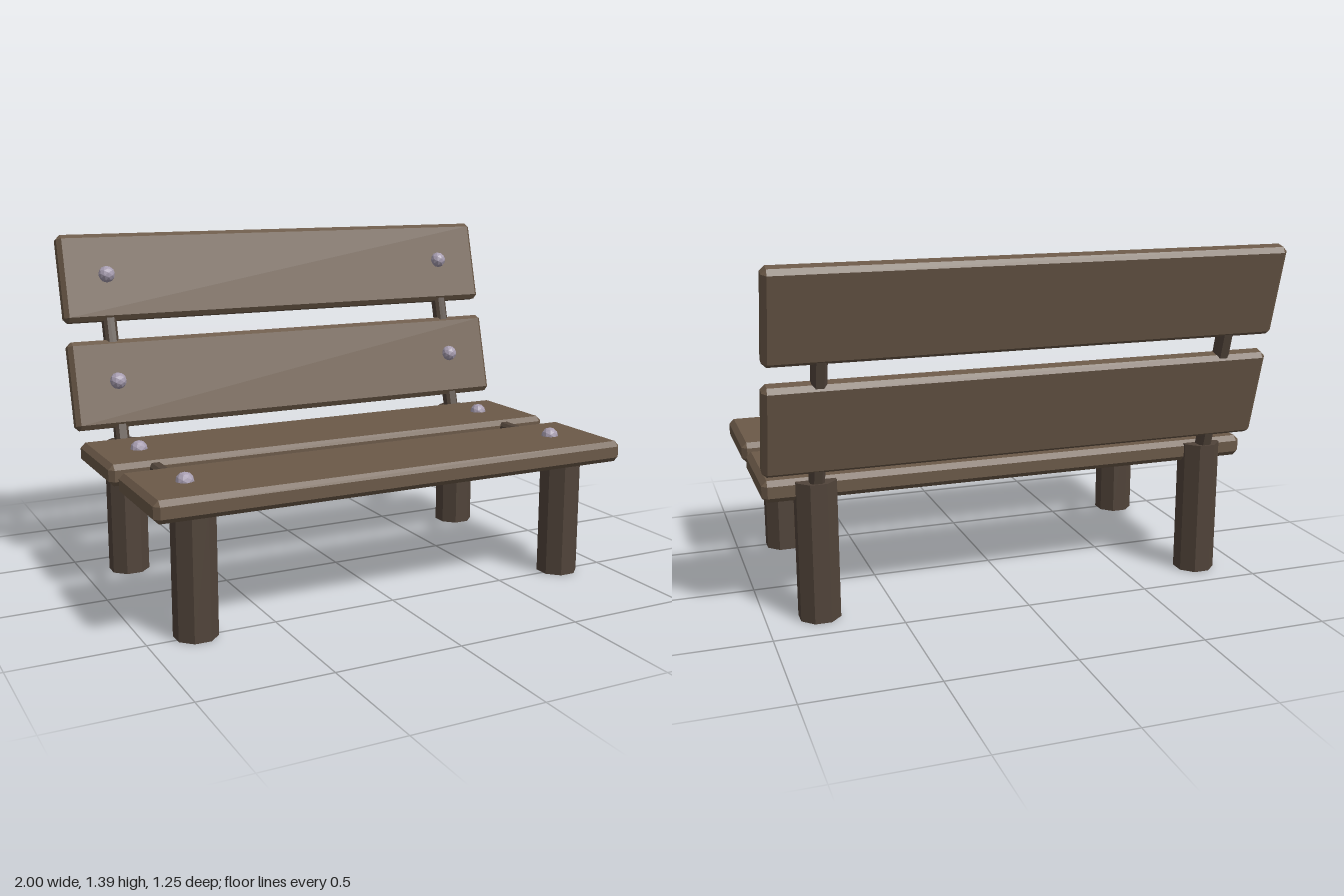
import * as THREE from 'three';
import { ConvexGeometry } from 'three/addons/geometries/ConvexGeometry.js';

const material = (color) => new THREE.MeshStandardMaterial({ color, flatShading: true });

// Box with every edge and corner cut off by c
function chamferBox(w, h, d, c) {
  const points = [];
  for (const x of [-w / 2, w / 2]) for (const y of [-h / 2, h / 2]) for (const z of [-d / 2, d / 2]) {
    const ix = x - Math.sign(x) * c, iy = y - Math.sign(y) * c, iz = z - Math.sign(z) * c;
    points.push(new THREE.Vector3(x, iy, iz), new THREE.Vector3(ix, y, iz), new THREE.Vector3(ix, iy, z));
  }
  return new ConvexGeometry(points);
}

export function createModel() {
  const bench = new THREE.Group();
  bench.name = 'bench';
  const plankMat = material(0x6b5948);
  const legMat = material(0x51443a);
  const boltMat = material(0xa79db0);

  function add(parent, name, geometry, mat, x, y, z) {
    const mesh = new THREE.Mesh(geometry, mat);
    mesh.name = name;
    mesh.position.set(x, y, z);
    parent.add(mesh);
    return mesh;
  }

  const sides = [['right', -0.81], ['left', 0.795]];
  const boltGeo = new THREE.IcosahedronGeometry(0.035, 1);

  // Seat planks with bolts
  const seatGeo = chamferBox(1.99, 0.085, 0.44, 0.02);
  for (const [name, z, boltZ] of [['front', 0.408, 0.41], ['back', -0.132, -0.135]]) {
    add(bench, name + 'SeatPlank', seatGeo, plankMat, 0, 0.518, z);
    for (const [side, x] of sides) add(bench, side + name + 'SeatBolt', boltGeo, boltMat, x, 0.56, boltZ);
  }

  // Legs, octagonal with flat faces forward; the back pair rises behind the seat
  const legRadius = 0.077 / Math.cos(Math.PI / 8);
  for (const [name, z, height] of [['Front', 0.488, 0.49], ['Back', -0.33, 0.55]]) {
    const legGeo = new THREE.CylinderGeometry(legRadius, legRadius, height, 8).rotateY(Math.PI / 8);
    for (const [side, x] of sides) add(bench, side + name + 'Leg', legGeo, legMat, x, height / 2, z);
  }

  // Bars under the seat joining front and back legs
  const seatBarGeo = chamferBox(0.055, 0.07, 0.8, 0.012);
  for (const [side, x] of sides) add(bench, side + 'SeatBar', seatBarGeo, legMat, x, 0.517, 0.08);

  // Leaning backrest: local y runs up the slope, origin at the lower board
  const backrest = new THREE.Group();
  backrest.name = 'backrest';
  backrest.position.set(0, 0.775, -0.43);
  backrest.rotation.x = -0.262;
  bench.add(backrest);

  const boardGeo = chamferBox(2, 0.365, 0.072, 0.018);
  const backBarGeo = chamferBox(0.055, 0.86, 0.058, 0.012);
  for (const [name, y] of [['lower', 0], ['upper', 0.446]]) {
    add(backrest, name + 'BackBoard', boardGeo, plankMat, 0, y, 0);
    for (const [side, x] of sides) add(backrest, side + name + 'BackBolt', boltGeo, boltMat, x, y + 0.008, 0.04);
  }
  for (const [side, x] of sides) add(backrest, side + 'BackBar', backBarGeo, legMat, x, 0.18, 0);

  return bench;
}
